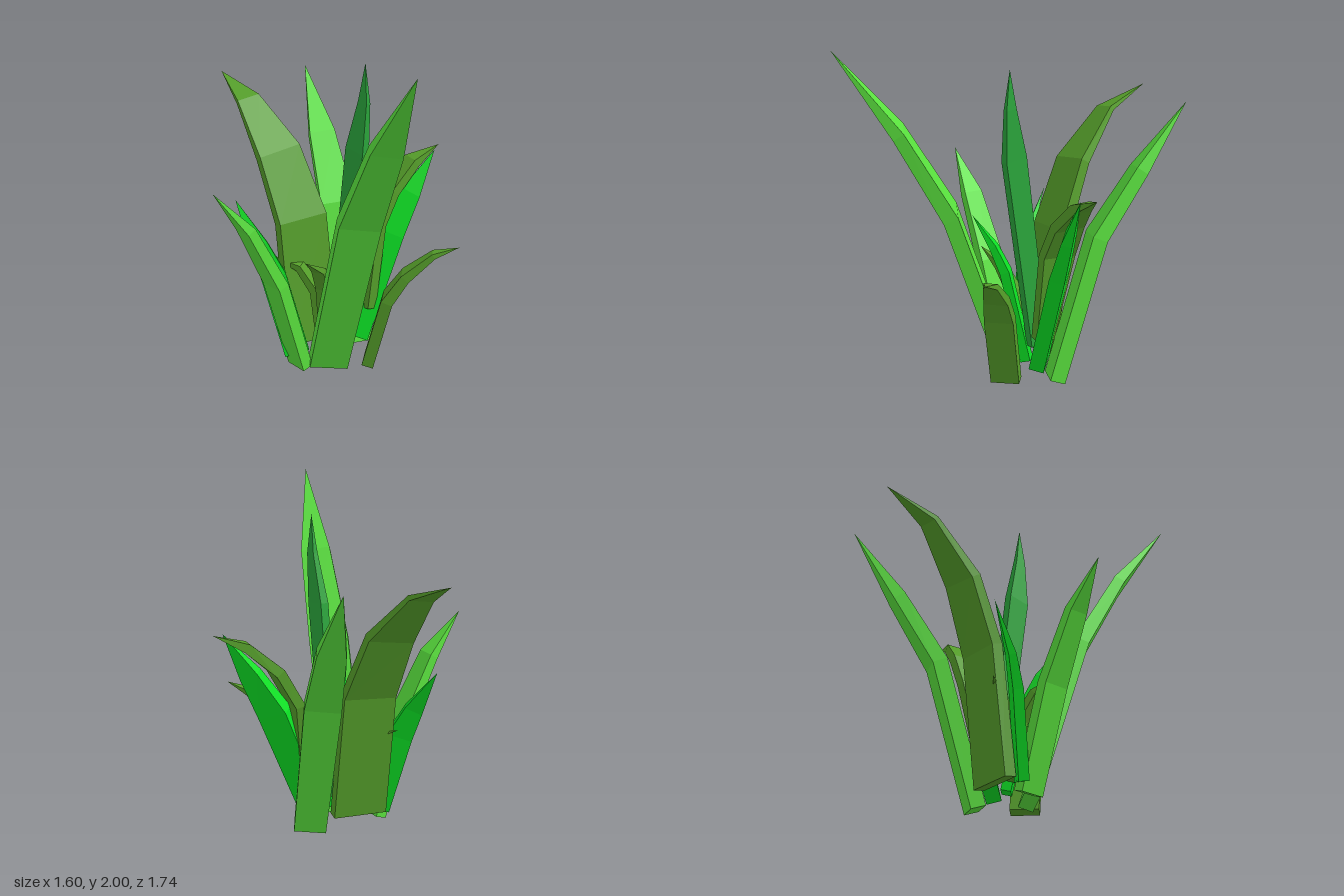
import * as THREE from 'three';

const COLORS = { leaf: 0x5ae23e, bright: 0x0ce024, olive: 0x559e2a, deep: 0x2ba63c };

// Four-sided blade swept through rings [x, y, z, width]; a width of 0 closes it in a point.
// The flat of the blade lies square to its lean, then turns about its length by roll degrees.
function blade(name, color, thickness, roll, rings) {
  const pts = rings.map(([x, y, z]) => new THREE.Vector3(x, y, z));
  const lean = pts[pts.length - 1].clone().sub(pts[0]);
  const side = new THREE.Vector3(lean.z, 0, -lean.x).normalize();

  // Rectangular cross-section at every ring, square to the local direction
  const sections = pts.map((p, i) => {
    const before = pts[Math.max(i - 1, 0)], after = pts[Math.min(i + 1, pts.length - 1)];
    const tangent = after.clone().sub(before).normalize();
    const w = side.clone().addScaledVector(tangent, -side.dot(tangent)).normalize()
      .applyAxisAngle(tangent, THREE.MathUtils.degToRad(roll));
    const t = tangent.clone().cross(w);
    const width = rings[i][3];
    const depth = thickness * Math.min(1, width / rings[0][3]);
    return [[1, 1], [-1, 1], [-1, -1], [1, -1]].map(([a, b]) =>
      p.clone().addScaledVector(w, a * width / 2).addScaledVector(t, b * depth / 2));
  });

  const corners = [];
  const [c0, c1, c2, c3] = sections[0];
  corners.push(c0, c2, c1, c0, c3, c2); // base cap
  for (let s = 0; s < sections.length - 1; s++) {
    const a = sections[s], b = sections[s + 1];
    for (let i = 0; i < 4; i++) {
      const j = (i + 1) % 4;
      corners.push(a[i], a[j], b[j]);
      if (rings[s + 1][3] > 0) corners.push(a[i], b[j], b[i]);
    }
  }
  const geometry = new THREE.BufferGeometry().setFromPoints(corners);
  geometry.computeVertexNormals();
  const mesh = new THREE.Mesh(geometry, new THREE.MeshStandardMaterial({ color: COLORS[color] }));
  mesh.name = name;
  return mesh;
}

export function createModel() {
  const plant = new THREE.Group();
  plant.name = 'bladedPlant';
  plant.add(
    // Tall light green leaves
    blade('tallFrontLeaf', 'leaf', 0.09, -18,
      [[0.045, 0.03, 0.1, 0.23], [0.285, 1.03, 0.355, 0.24], [0.475, 1.53, 0.58, 0.18], [0.68, 2, 0.87, 0]]),
    blade('tallBackLeaf', 'leaf', 0.09, -13,
      [[0.145, 0.03, -0.235, 0.19], [-0.035, 0.87, -0.43, 0.21], [-0.185, 1.25, -0.64, 0.16], [-0.355, 1.63, -0.87, 0]]),
    blade('frontRightLeaf', 'leaf', 0.07, 0,
      [[-0.12, 0.02, 0.13, 0.15], [-0.22, 0.6, 0.29, 0.16], [-0.34, 0.98, 0.45, 0.12], [-0.475, 1.23, 0.605, 0]]),
    // Deep green upright leaf
    blade('uprightLeaf', 'deep', 0.05, 88,
      [[0.06, 0.2, -0.1, 0.12], [0.19, 1.35, 0, 0.145], [0.23, 1.64, 0.01, 0.07], [0.235, 1.865, 0.01, 0]]),
    // Olive arching leaves
    blade('broadOliveLeaf', 'olive', 0.07, -12,
      [[-0.095, 0.1, -0.065, 0.33], [-0.18, 0.86, -0.12, 0.32], [-0.34, 1.24, -0.2, 0.28],
        [-0.57, 1.52, -0.34, 0.15], [-0.8, 1.64, -0.525, 0]]),
    blade('backLeftOliveLeaf', 'olive', 0.06, 0,
      [[0.215, 0.3, -0.18, 0.12], [0.225, 0.82, -0.265, 0.21], [0.3, 1.02, -0.345, 0.19],
        [0.43, 1.17, -0.455, 0.11], [0.57, 1.25, -0.575, 0]]),
    blade('lowLeftOliveLeaf', 'olive', 0.07, 0,
      [[0.28, 0.04, 0.025, 0.17], [0.39, 0.46, 0.025, 0.17], [0.49, 0.61, 0.01, 0.14],
        [0.65, 0.75, -0.01, 0.08], [0.795, 0.8, -0.03, 0]]),
    blade('smallFrontOliveLeaf', 'olive', 0.05, 0,
      [[0.02, 0.15, 0, 0.1], [0.015, 0.5, 0.06, 0.1], [0, 0.65, 0.15, 0.08], [-0.04, 0.74, 0.285, 0]]),
    blade('smallRightOliveLeaf', 'olive', 0.05, 0,
      [[-0.02, 0.15, -0.01, 0.1], [-0.06, 0.45, -0.02, 0.1], [-0.16, 0.59, -0.02, 0.08], [-0.33, 0.64, -0.02, 0]]),
    // Bright green pointed leaves, turned edge-on to their lean
    blade('backLeftBrightLeaf', 'bright', 0.09, 55,
      [[0.155, 0.12, -0.14, 0.17], [0.33, 0.75, -0.31, 0.18], [0.44, 0.99, -0.39, 0.12], [0.56, 1.24, -0.485, 0]]),
    blade('rightBrightLeaf', 'bright', 0.06, -60,
      [[-0.15, 0.08, 0.1, 0.15], [-0.29, 0.56, 0.1, 0.15], [-0.38, 0.74, 0.09, 0.11], [-0.54, 1, 0.035, 0]]),
    blade('smallFrontBrightLeaf', 'bright', 0.06, 0,
      [[0.085, 0.1, -0.04, 0.09], [0.11, 0.65, 0.08, 0.085], [0.12, 0.8, 0.15, 0.065], [0.13, 0.98, 0.275, 0]]),
  );
  return plant;
}
